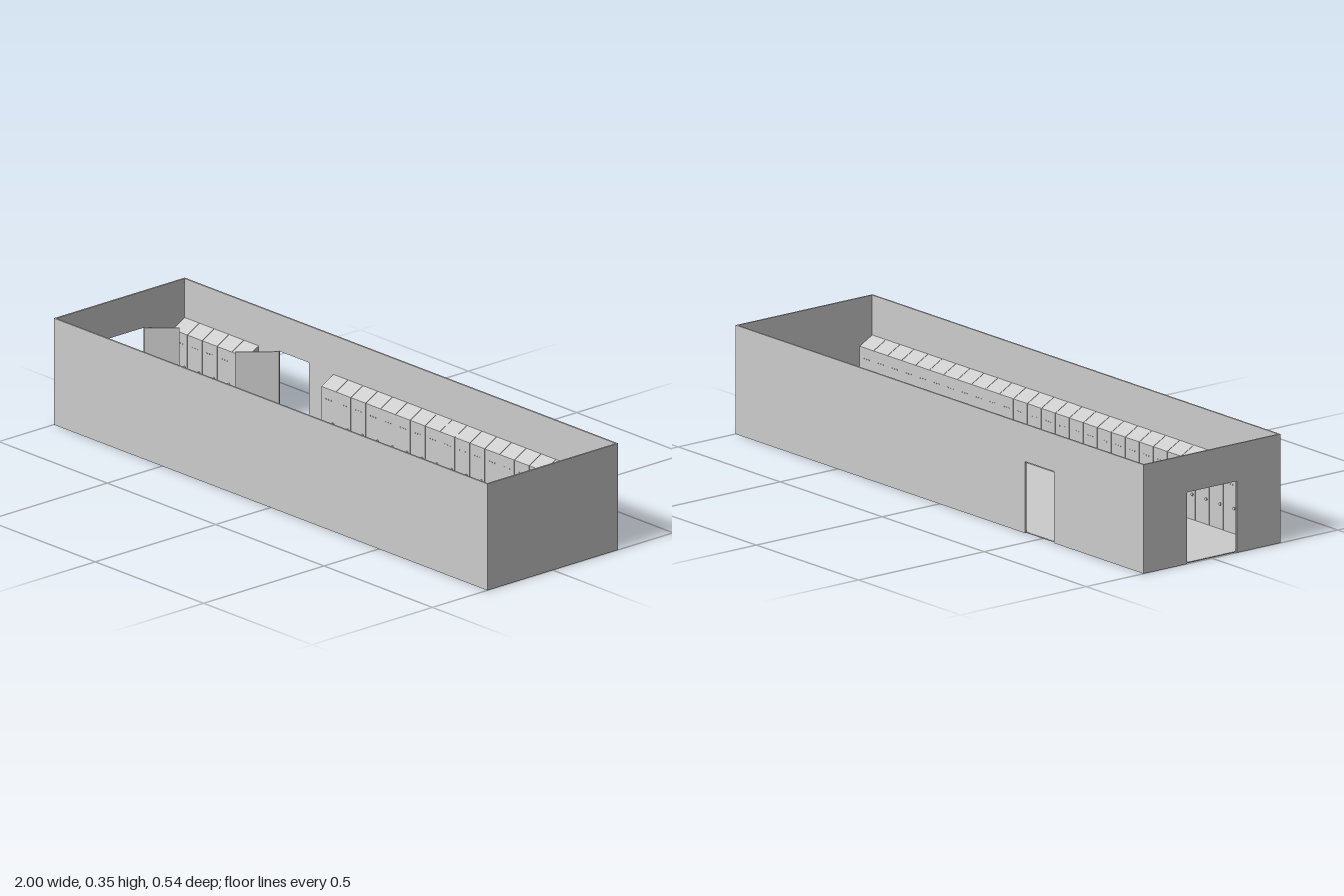
import * as THREE from 'three';

const L = 2, W = 0.544, H = 0.35, T = 0.006;   // room length, width, height, wall thickness
const DOOR_H = 0.23, LEAF_T = 0.004;
const SLOTS = 29, PITCH = (L - 2 * T) / SLOTS;

const material = new THREE.MeshStandardMaterial({ color: 0xcccccc, flatShading: true });

function add(parent, name, geometry, x = 0, y = 0, z = 0) {
  const mesh = new THREE.Mesh(geometry, material);
  mesh.name = name;
  mesh.position.set(x, y, z);
  parent.add(mesh);
  return mesh;
}

// Upright wall in the XY plane, optionally notched by a doorway from a to b
function wallGeometry(length, a, b) {
  const h = length / 2;
  const s = new THREE.Shape();
  s.moveTo(-h, 0);
  if (a !== undefined) {
    s.lineTo(a, 0);
    s.lineTo(a, DOOR_H);
    s.lineTo(b, DOOR_H);
    s.lineTo(b, 0);
  }
  s.lineTo(h, 0);
  s.lineTo(h, H);
  s.lineTo(-h, H);
  s.closePath();
  return new THREE.ExtrudeGeometry(s, { depth: T, bevelEnabled: false });
}

// Door leaf standing between two floor points [x, z]
function addLeaf(parent, name, [x0, z0], [x1, z1]) {
  const length = Math.hypot(x1 - x0, z1 - z0);
  const leaf = add(parent, name, new THREE.BoxGeometry(length, DOOR_H - 0.004, LEAF_T),
    (x0 + x1) / 2, DOOR_H / 2, (z0 + z1) / 2);
  leaf.rotation.y = -Math.atan2(z1 - z0, x1 - x0);
}

// Locker cross-section: back at 0, front at depth, top sloping down to the front
function lockerGeometry() {
  const depth = 0.05, width = PITCH - 0.0016;
  const s = new THREE.Shape();
  s.moveTo(0, 0.002);
  s.lineTo(depth, 0.002);
  s.lineTo(depth, 0.195);
  s.lineTo(0, 0.222);
  s.closePath();
  const g = new THREE.ExtrudeGeometry(s, { depth: width, bevelEnabled: false });
  g.translate(0, 0, -width / 2);
  g.rotateY(-Math.PI / 2);
  return g;
}

export function createModel() {
  const room = new THREE.Group();
  room.name = 'lockerRoom';

  // Shell
  add(room, 'floor', new THREE.BoxGeometry(L - T, 0.003, W - T), 0, 0.0025, 0);
  add(room, 'frontWall', wallGeometry(L), 0, 0, W / 2 - T);
  add(room, 'backWall', wallGeometry(L, -0.56, -0.42), 0, 0, -W / 2);
  const endLength = W - 2 * T;
  add(room, 'leftWall', wallGeometry(endLength), L / 2 - T, 0, 0).rotation.y = Math.PI / 2;
  add(room, 'rightWall', wallGeometry(endLength, -0.1, 0.1), -L / 2, 0, 0).rotation.y = Math.PI / 2;

  // Open doors: one in the back wall, a pair in the right end wall
  addLeaf(room, 'backDoor', [-0.56, -0.268], [-0.648, -0.164]);
  for (const s of [-1, 1]) {
    addLeaf(room, 'endDoor', [-0.995, s * 0.1], [-0.925, s * 0.182]);
  }

  // Lockers along both long walls, with a gap at the back door
  const body = lockerGeometry();
  const knob = new THREE.CylinderGeometry(0.005, 0.005, 0.004, 10).rotateX(Math.PI / 2);
  const vent = new THREE.CylinderGeometry(0.002, 0.002, 0.002, 8).rotateX(Math.PI / 2);
  const addRow = (name, skip) => {
    const row = new THREE.Group();
    row.name = name;
    for (let i = 0; i < SLOTS; i++) {
      if (skip(i)) continue;
      const locker = new THREE.Group();
      locker.name = 'locker';
      locker.position.x = -L / 2 + T + (i + 0.5) * PITCH;
      add(locker, 'lockerBody', body);
      add(locker, 'lockerKnob', knob, 0.02, 0.085, 0.051);
      for (const x of [-0.012, 0, 0.012]) add(locker, 'ventStud', vent, x, 0.16, 0.0505);
      row.add(locker);
    }
    room.add(row);
    return row;
  };
  addRow('backLockers', i => i >= 5 && i < 10).position.z = -W / 2 + T;
  const front = addRow('frontLockers', () => false);
  front.position.z = W / 2 - T;
  front.rotation.y = Math.PI;

  return room;
}
